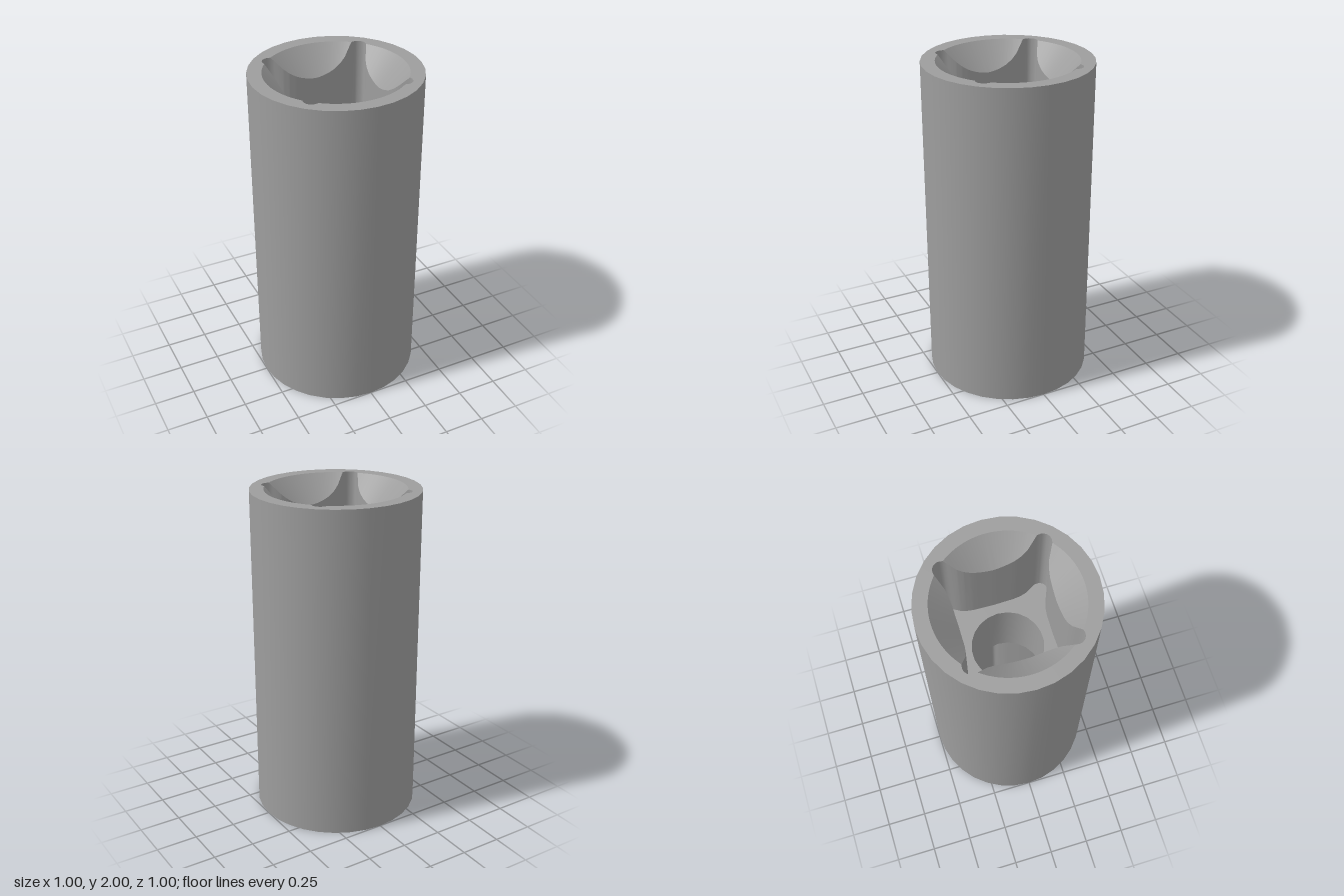
import * as THREE from 'three';
import { toCreasedNormals } from 'three/addons/utils/BufferGeometryUtils.js';

const TAU = Math.PI * 2;

// Half a side of each socket section, from the middle of a wall to its corner: [outward, along]
const SQUARE = {
  sides: 4, turn: 0,
  pts: [[0.27, 0], [0.273, 0.12], [0.279, 0.165], [0.29, 0.2], [0.307, 0.229], [0.325, 0.26], [0.328, 0.28], [0.325, 0.298], [0.314, 0.314]]
};
const HEX = {
  sides: 6, turn: TAU / 12,
  pts: [[0.292, 0], [0.293, 0.08], [0.298, 0.13], [0.305, 0.163], [0.303, 0.175]]
};

// Radius of a section at an angle, by folding into one half side
function sectionRadius({ sides, turn, pts }, angle) {
  const step = TAU / sides, a = angle - turn;
  const t = Math.abs(a - Math.round(a / step) * step);
  let i = 1;
  while (i < pts.length - 1 && Math.atan2(pts[i][1], pts[i][0]) < t - 1e-6) i++;
  const [ax, ay] = pts[i - 1], [bx, by] = pts[i];
  return (ax * by - ay * bx) / (Math.cos(t) * (by - ay) - Math.sin(t) * (bx - ax));
}

// Radius of a regular polygon with a corner at angle 0
function polygonRadius(radius, sides, angle) {
  const step = TAU / sides;
  const t = angle - Math.floor(angle / step + 1e-9) * step;
  return radius * Math.cos(step / 2) / Math.cos(t - step / 2);
}

function evenAngles(count) {
  return Array.from({ length: count }, (_, i) => i / count * TAU);
}

// Even spread plus every corner of both sections
function socketAngles() {
  const list = evenAngles(96);
  for (const { sides, turn, pts } of [SQUARE, HEX])
    for (let s = 0; s < sides; s++)
      for (const [x, y] of pts)
        for (const sign of [1, -1])
          list.push((turn + s / sides * TAU + sign * Math.atan2(y, x) + TAU) % TAU);
  list.sort((a, b) => a - b);
  return list.filter((a, i) => i === 0 || (a - list[i - 1] > 1e-3 && TAU - a > 1e-3));
}

export function createModel() {
  const group = new THREE.Group();
  const material = new THREE.MeshStandardMaterial({ color: 0x9d9d9d });
  const fine = socketAngles();
  const outerSides = 32, boreSides = 22;
  const rim = 0.415, slope = 1.08;

  // Rings of the body: each gives [radius, height] at an angle
  const outer = y => a => [polygonRadius(0.5, outerSides, a), y];
  const bore = y => a => [polygonRadius(0.21, boreSides, a), y];
  const wall = (section, y) => a => [sectionRadius(section, a), y];
  const mouth = (section, y) => a => [Math.max(rim, sectionRadius(section, a)), y];
  // Where the countersink cone meets the socket walls
  const meet = (section, y, dir) => a => {
    const r = sectionRadius(section, a);
    return [r, y + dir * Math.max(0, rim - r) * slope];
  };

  // Surface joining two rings
  function addBand(name, lower, upper, angles = fine) {
    const n = angles.length, pos = [], index = [];
    for (const ring of [lower, upper])
      for (const a of angles) {
        const [r, y] = ring(a);
        pos.push(r * Math.cos(a), y, r * Math.sin(a));
      }
    for (let j = 0; j < n; j++) {
      const k = (j + 1) % n;
      index.push(j, n + j, k, k, n + j, n + k);
    }
    const geometry = new THREE.BufferGeometry();
    geometry.setAttribute('position', new THREE.Float32BufferAttribute(pos, 3));
    geometry.setIndex(index);
    const mesh = new THREE.Mesh(toCreasedNormals(geometry, 0.8), material);
    mesh.name = name;
    group.add(mesh);
  }

  const driveFloor = 1.38, hexFloor = 0.9;
  addBand('outerWall', outer(0), outer(2), evenAngles(outerSides));
  addBand('topRim', outer(2), mouth(SQUARE, 2));
  addBand('driveCountersink', mouth(SQUARE, 2), meet(SQUARE, 2, -1));
  addBand('squareDriveWalls', meet(SQUARE, 2, -1), wall(SQUARE, driveFloor));
  addBand('driveLedge', wall(SQUARE, driveFloor), bore(driveFloor));
  addBand('centreBore', bore(driveFloor), bore(hexFloor), evenAngles(boreSides));
  addBand('hexLedge', bore(hexFloor), wall(HEX, hexFloor));
  addBand('hexWalls', wall(HEX, hexFloor), meet(HEX, 0, 1));
  addBand('hexCountersink', meet(HEX, 0, 1), mouth(HEX, 0));
  addBand('bottomRim', mouth(HEX, 0), outer(0));
  return group;
}
